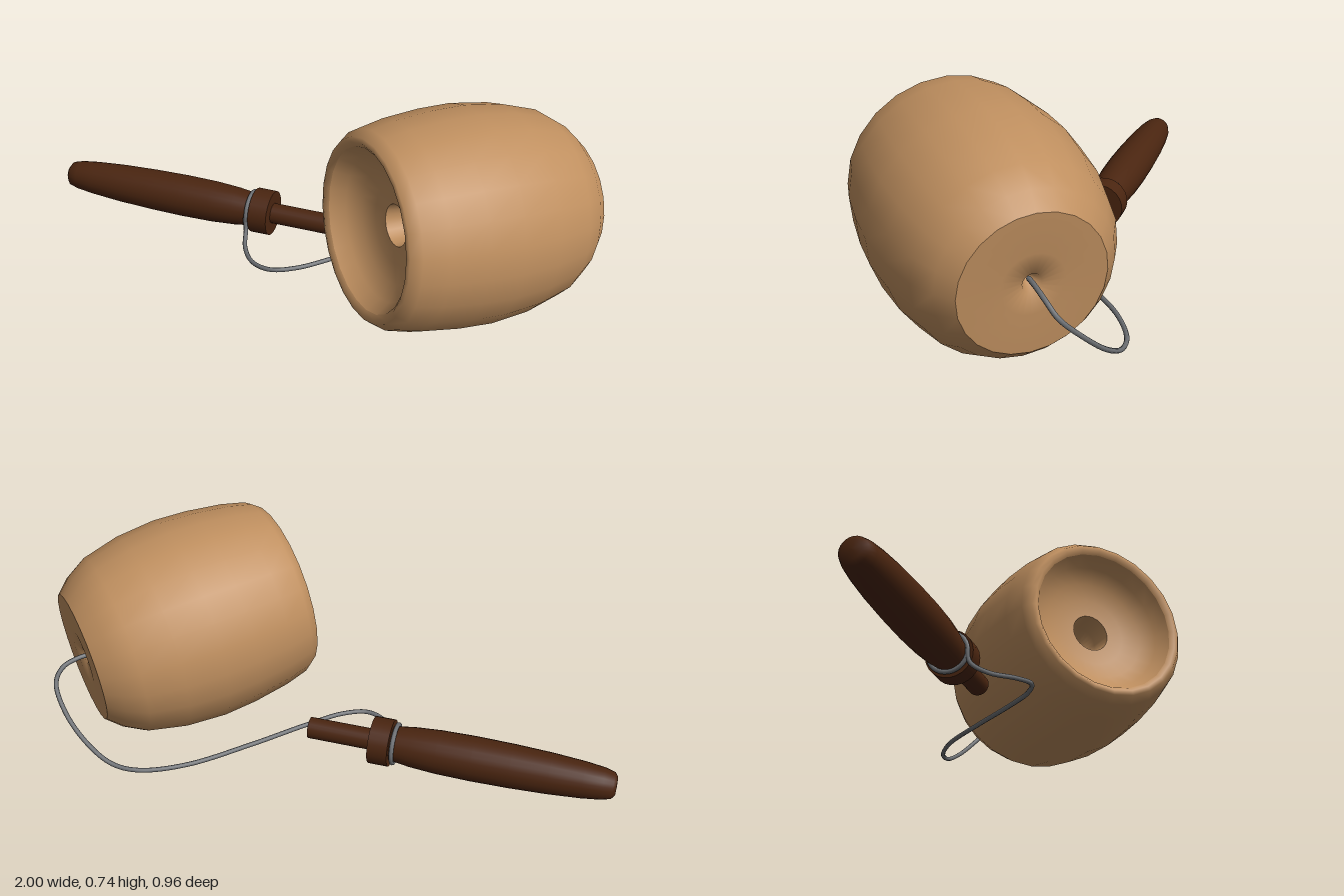
import * as THREE from 'three';

const mat = (name, color) => {
  const m = new THREE.MeshStandardMaterial({ color });
  m.name = name;
  return m;
};

// Lathe from [radius, distance along axis] pairs
const lathe = (name, pts, segments, material) => {
  const geo = new THREE.LatheGeometry(pts.map(([r, t]) => new THREE.Vector2(r, t)), segments);
  const mesh = new THREE.Mesh(geo, material);
  mesh.name = name;
  return mesh;
};

// Lay a group's y axis along the line from a to b
const layAlong = (group, a, b) => {
  group.position.copy(a);
  group.quaternion.setFromUnitVectors(new THREE.Vector3(0, 1, 0), b.clone().sub(a).normalize());
};

export function createModel() {
  const model = new THREE.Group();
  model.name = 'cupAndHandleToy';
  const tan = mat('light wood', 0xbf8f5f);
  const brown = mat('dark wood', 0x4a2510);
  const grey = mat('grey cord', 0x6c6f73);

  // Barrel: outer wall, hollow cup at the front, dimpled flat back
  const barrel = new THREE.Group();
  barrel.name = 'barrel';
  barrel.add(
    lathe('barrelWall', [
      [0.27, 0.012], [0.285, 0], [0.302, 0.003], [0.325, 0.035], [0.345, 0.12],
      [0.361, 0.25], [0.366, 0.37], [0.353, 0.51], [0.32, 0.64], [0.278, 0.71], [0.23, 0.76],
    ], 24, tan),
    lathe('cupBowl', [
      [0.07, 0.12], [0.13, 0.115], [0.19, 0.095], [0.24, 0.06], [0.27, 0.012],
    ], 24, tan),
    lathe('cupHole', [[0, 0.26], [0.04, 0.245], [0.062, 0.2], [0.07, 0.12]], 24, tan),
    lathe('barrelBack', [[0.23, 0.76], [0.1, 0.759], [0.03, 0.75], [0.012, 0.71], [0, 0.7]], 24, tan),
  );
  layAlong(barrel, new THREE.Vector3(0.305, 0.395, 0.265), new THREE.Vector3(0.84, 0.32, -0.28));
  model.add(barrel);

  // Handle: tapered grip, collar and pin on one axis
  const handle = new THREE.Group();
  handle.name = 'handle';
  handle.add(
    lathe('grip', [
      [0, 0], [0.03, 0.001], [0.045, 0.012], [0.054, 0.045], [0.062, 0.11], [0.07, 0.22],
      [0.075, 0.35], [0.077, 0.48], [0.075, 0.6], [0.069, 0.69], [0.061, 0.75], [0.059, 0.78],
    ], 24, brown),
  );
  const rod = (name, r, from, to) => {
    const m = new THREE.Mesh(new THREE.CylinderGeometry(r, r, to - from, 24), brown);
    m.position.y = (from + to) / 2;
    m.name = name;
    handle.add(m);
  };
  rod('collar', 0.082, 0.762, 0.832);
  rod('pin', 0.037, 0.82, 1.057);

  // Cord loop tied around the neck of the grip
  const loop = new THREE.Mesh(new THREE.TorusGeometry(0.067, 0.008, 8, 32), grey);
  loop.rotation.x = Math.PI / 2;
  loop.position.y = 0.75;
  loop.name = 'cordLoop';
  handle.add(loop);
  layAlong(handle, new THREE.Vector3(-1, 0.094, -0.09), new THREE.Vector3(0.055, 0.098, -0.13));
  model.add(handle);

  // Cord from the barrel back, along the ground, to the neck loop
  const path = [
    [0.81, 0.324, -0.25], [0.845, 0.322, -0.285], [0.882, 0.305, -0.33], [0.892, 0.265, -0.37],
    [0.835, 0.185, -0.425], [0.74, 0.1, -0.462], [0.65, 0.052, -0.476], [0.56, 0.038, -0.463],
    [0.42, 0.032, -0.38], [0.25, 0.028, -0.205], [0.1, 0.026, -0.035], [0, 0.025, 0.065],
    [-0.085, 0.022, 0.106], [-0.165, 0.015, 0.08], [-0.225, 0.02, 0.01], [-0.245, 0.055, -0.045],
    [-0.252, 0.1, -0.053],
  ].map((p) => new THREE.Vector3(...p));
  const cord = new THREE.Mesh(
    new THREE.TubeGeometry(new THREE.CatmullRomCurve3(path), 140, 0.008, 8), grey);
  cord.name = 'cord';
  model.add(cord);

  return model;
}
